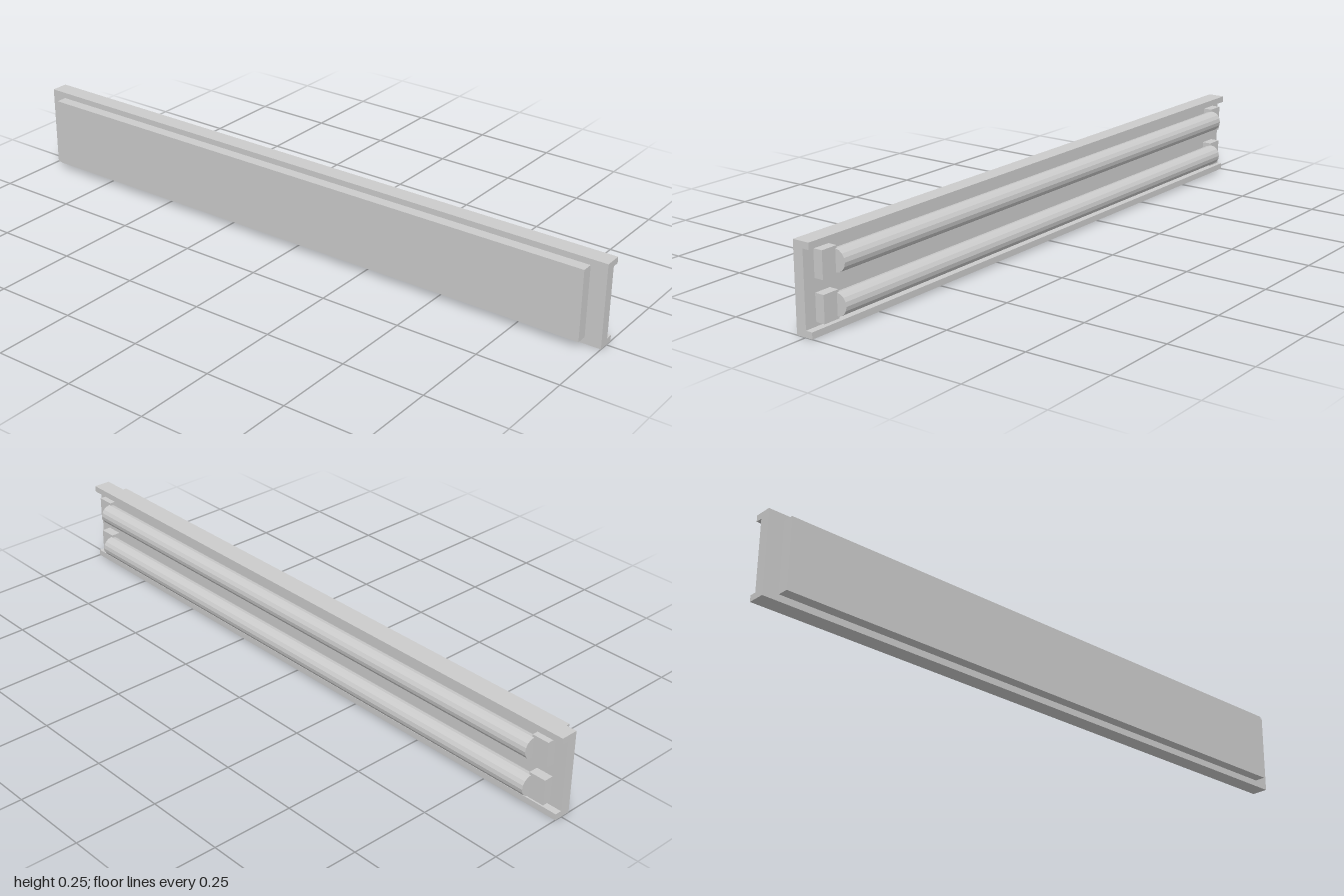
import * as THREE from 'three';

export function createModel() {
  const group = new THREE.Group();
  const material = new THREE.MeshStandardMaterial({ color: 0xcccccc, flatShading: true });

  const add = (name, geometry, x, y, z) => {
    const mesh = new THREE.Mesh(geometry, material);
    mesh.name = name;
    mesh.position.set(x, y, z);
    group.add(mesh);
    return mesh;
  };

  // Channel housing: back plate with a lip along the top and bottom edges
  const profile = new THREE.Shape([
    [-0.03, 0], [0.023, 0], [0.023, 0.019], [0.002, 0.019],
    [0.002, 0.235], [0.023, 0.235], [0.023, 0.254], [-0.03, 0.254],
  ].map(([x, y]) => new THREE.Vector2(x, y)));
  add('housing', new THREE.ExtrudeGeometry(profile, { depth: 2, bevelEnabled: false }), 0, 0, -1);

  // Mounting plate behind the housing
  add('mountingPlate', new THREE.BoxGeometry(0.034, 0.216, 1.9), -0.047, 0.128, 0);

  // Two lamp tubes, each held by a socket at both ends
  for (const [label, y] of [['lower', 0.07], ['upper', 0.187]]) {
    const tube = new THREE.CylinderGeometry(0.0315, 0.0315, 1.83, 16);
    tube.rotateY(Math.PI / 2).rotateX(Math.PI / 2);
    add(label + 'Tube', tube, 0.031, y, 0);
    for (const side of [-1, 1]) {
      const end = side > 0 ? 'Front' : 'Back';
      add(label + 'Socket' + end, new THREE.BoxGeometry(0.03, 0.078, 0.053), 0.016, y, side * 0.936);
    }
  }

  return group;
}
